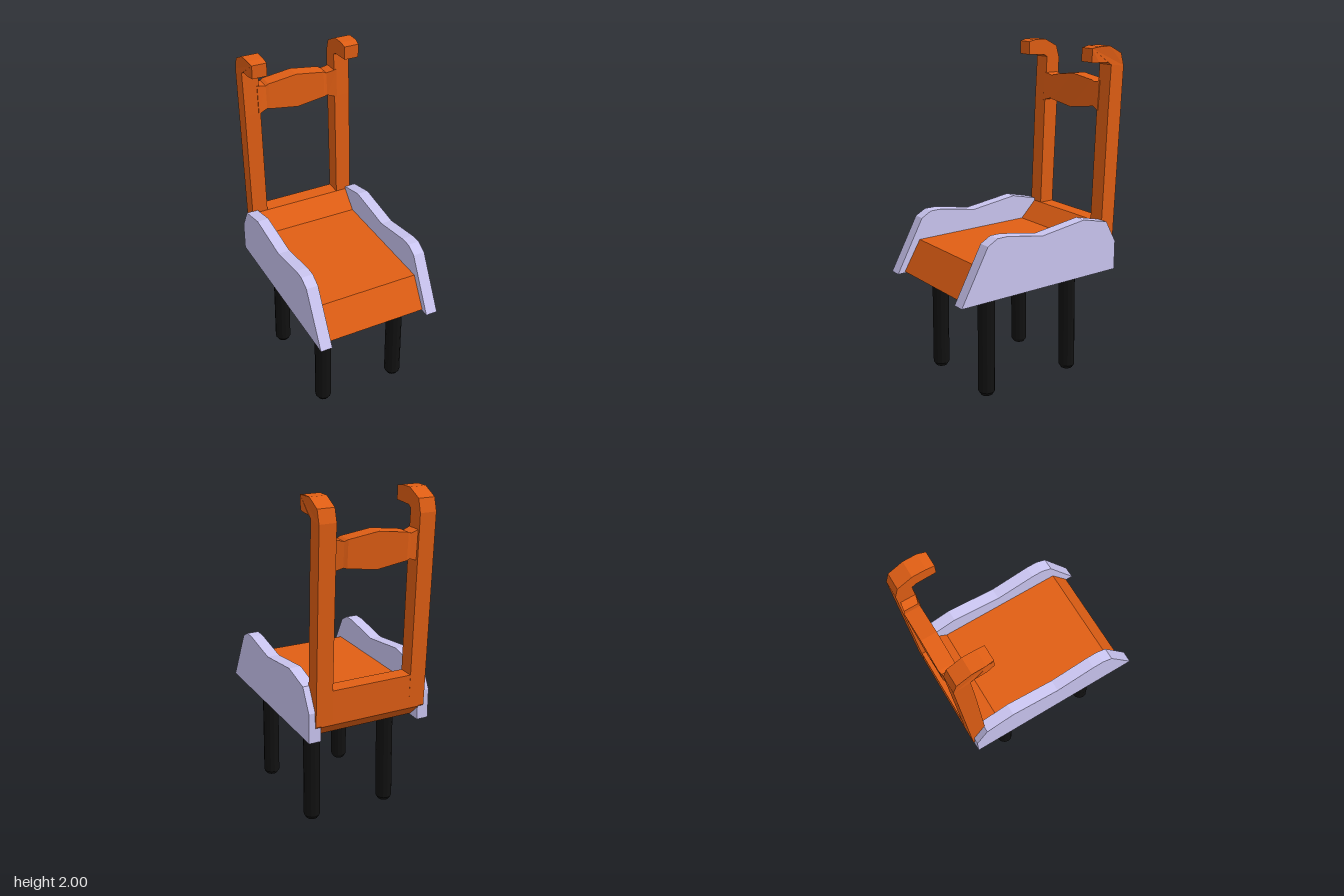
import * as THREE from 'three';

const paint = (color) => new THREE.MeshStandardMaterial({ color, flatShading: true });

// Extrudes a side profile of [z, y] points across x, centred on x = 0
function sideExtrude(points, width) {
  const shape = new THREE.Shape(points.map(([z, y]) => new THREE.Vector2(z, y)));
  const geo = new THREE.ExtrudeGeometry(shape, { depth: width, bevelEnabled: false });
  return geo.translate(0, 0, -width / 2).rotateY(-Math.PI / 2);
}

export function createModel() {
  const group = new THREE.Group();
  const orange = paint(0xe05e14);
  const lavender = paint(0xcbc6f2);
  const black = paint(0x111111);

  function add(name, geo, material, x = 0, y = 0, z = 0) {
    const mesh = new THREE.Mesh(geo, material);
    mesh.name = name;
    mesh.position.set(x, y, z);
    group.add(mesh);
    return mesh;
  }

  // Seat with sloped front and raised rear ledge
  add('seat', sideExtrude([
    [0.545, 0.648], [0.435, 0.833], [-0.35, 0.835], [-0.455, 0.94],
    [-0.552, 0.94], [-0.545, 0.73], [-0.46, 0.648],
  ], 0.63), orange);

  const panel = [
    [0.593, 0.64], [0.415, 0.965], [0.35, 1.0], [0.28, 1.0], [0.03, 0.957],
    [-0.28, 0.998], [-0.46, 0.955], [-0.535, 0.82], [-0.535, 0.64],
  ];
  const post = [
    [-0.455, 0.7], [-0.455, 0.95], [-0.48, 1.62], [-0.494, 1.89], [-0.47, 1.905],
    [-0.4, 1.908], [-0.352, 1.91], [-0.352, 1.99], [-0.4, 2.0], [-0.48, 2.0],
    [-0.57, 1.955], [-0.592, 1.88], [-0.545, 0.735], [-0.5, 0.692],
  ];

  for (const s of [1, -1]) {
    const side = s > 0 ? 'left' : 'right';
    add(side + 'SidePanel', sideExtrude(panel, 0.072), lavender, s * 0.349);

    // Back post with a forward hook, its tip narrowed on the outside
    const geo = sideExtrude(post, 0.1);
    const p = geo.attributes.position;
    for (let i = 0; i < p.count; i++) {
      if (p.getZ(i) > -0.37 && p.getX(i) * s > 0) p.setX(i, s * 0.041);
    }
    geo.computeVertexNormals();
    add(side + 'BackPost', geo, orange, s * 0.297);

    // Legs with chamfered feet, leaning very slightly
    for (const [name, z, lean] of [['FrontLeg', 0.337, -0.004], ['BackLeg', -0.28, 0.008]]) {
      const leg = new THREE.LatheGeometry([
        [0, 0], [0.036, 0], [0.05, 0.022], [0.05, 0.66], [0, 0.66],
      ].map(([r, y]) => new THREE.Vector2(r, y)), 12);
      const q = leg.attributes.position;
      for (let i = 0; i < q.count; i++) {
        const t = q.getY(i) / 0.66;
        q.setX(i, q.getX(i) + s * 0.004 * (0.5 - t));
        q.setZ(i, q.getZ(i) + lean * t);
      }
      add(side + name, leg, black, s * 0.248, 0, z);
    }
  }

  // Crest rail: stations of [x, bottom, top, front z, back z]
  const half = [
    [0.26, 1.615, 1.793, -0.484, -0.574], [0.2, 1.633, 1.776, -0.499, -0.584],
    [0.18, 1.628, 1.786, -0.497, -0.591], [0, 1.602, 1.81, -0.497, -0.591],
  ];
  const stations = [
    ...half.map(([x, ...rest]) => [-x, ...rest]),
    ...half.slice(0, 3).reverse(),
  ];
  const rail = new THREE.BoxGeometry(6, 2, 2, 6, 1, 1);
  const r = rail.attributes.position;
  for (let i = 0; i < r.count; i++) {
    const [x, bottom, top, front, back] = stations[Math.round(r.getX(i) + 3)];
    const up = r.getY(i) > 0;
    r.setXYZ(i, x, up ? top : bottom, (r.getZ(i) > 0 ? front : back) + (up ? 0 : 0.01));
  }
  rail.computeVertexNormals();
  add('crestRail', rail, orange);

  return group;
}
